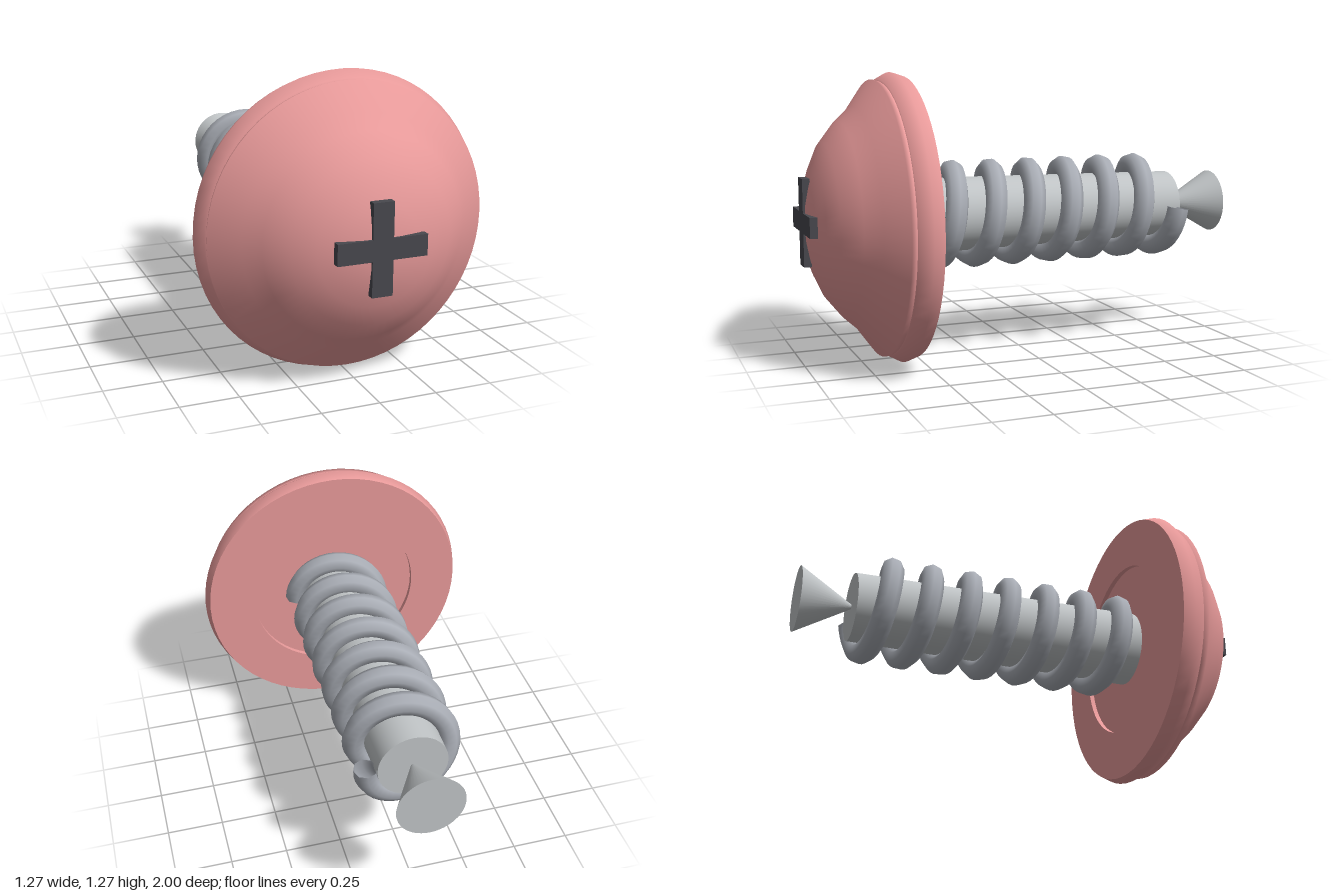
import * as THREE from 'three';

const mat = (color, side = THREE.FrontSide) => new THREE.MeshStandardMaterial({ color, side });

// Lathe around the screw axis (z); each profile point is [radius, z], from back to front
function turned(name, profile, material) {
  const geo = new THREE.LatheGeometry(profile.map(([r, z]) => new THREE.Vector2(r, z)), 64);
  geo.rotateX(Math.PI / 2);
  const mesh = new THREE.Mesh(geo, material);
  mesh.name = name;
  return mesh;
}

// Capped cylinder along z
function rod(name, rFront, rBack, zFront, zBack, material) {
  const geo = new THREE.CylinderGeometry(rFront, rBack, zFront - zBack, 48);
  geo.rotateX(Math.PI / 2);
  geo.translate(0, 0, (zFront + zBack) / 2);
  const mesh = new THREE.Mesh(geo, material);
  mesh.name = name;
  return mesh;
}

// Helical thread path around z
class Helix extends THREE.Curve {
  constructor(radius, zStart, pitch, turns) {
    super();
    Object.assign(this, { radius, zStart, pitch, turns });
  }
  getPoint(t, target = new THREE.Vector3()) {
    const a = t * this.turns * Math.PI * 2;
    return target.set(
      this.radius * Math.cos(a),
      -this.radius * Math.sin(a),
      this.zStart + t * this.turns * this.pitch
    );
  }
}

export function createModel() {
  const screw = new THREE.Group();
  screw.name = 'screw';
  const pink = mat(0xe89a9a, THREE.DoubleSide);
  const steel = mat(0xc0c4c6);
  const threadSteel = mat(0xa9adb5, THREE.DoubleSide);
  const dark = mat(0x48484e);

  // Head: domed front, rolled rim and shallow recessed back
  screw.add(turned('headDome', [
    [0.59, 0.645], [0.6, 0.662], [0.605, 0.682], [0.49, 0.765], [0.43, 0.83], [0.34, 0.902],
    [0.25, 0.944], [0.17, 0.972], [0.09, 0.989], [0, 0.995],
  ], pink));
  screw.add(turned('headRim', [
    [0.62, 0.55], [0.636, 0.6], [0.605, 0.655], [0.58, 0.66],
  ], pink));
  screw.add(turned('headBack', [[0.4, 0.55], [0.62, 0.55]], pink));
  screw.add(turned('recessWall', [[0.4, 0.572], [0.4, 0.55]], pink));
  screw.add(turned('recessFloor', [[0, 0.572], [0.4, 0.572]], pink));

  // Cross-shaped drive
  const drive = new THREE.Group();
  drive.name = 'crossDrive';
  for (const [name, w, h] of [['driveBarAcross', 0.38, 0.088], ['driveBarUpright', 0.088, 0.38]]) {
    const bar = new THREE.Mesh(new THREE.BoxGeometry(w, h, 0.033), dark);
    bar.name = name;
    bar.position.z = 0.9835;
    drive.add(bar);
  }
  screw.add(drive);

  // Slightly tapered shank and flared tip
  screw.add(rod('shank', 0.17, 0.152, 0.58, -0.76, steel));
  screw.add(rod('tip', 0, 0.146, -0.74, -1, steel));

  // Coiled thread
  const helix = new Helix(0.195, -0.725, 0.182, 7);
  const thread = new THREE.Mesh(new THREE.TubeGeometry(helix, 280, 0.05, 8, false), threadSteel);
  thread.name = 'thread';
  screw.add(thread);

  screw.position.y = 0.638;
  const model = new THREE.Group();
  model.name = 'model';
  model.add(screw);
  return model;
}
